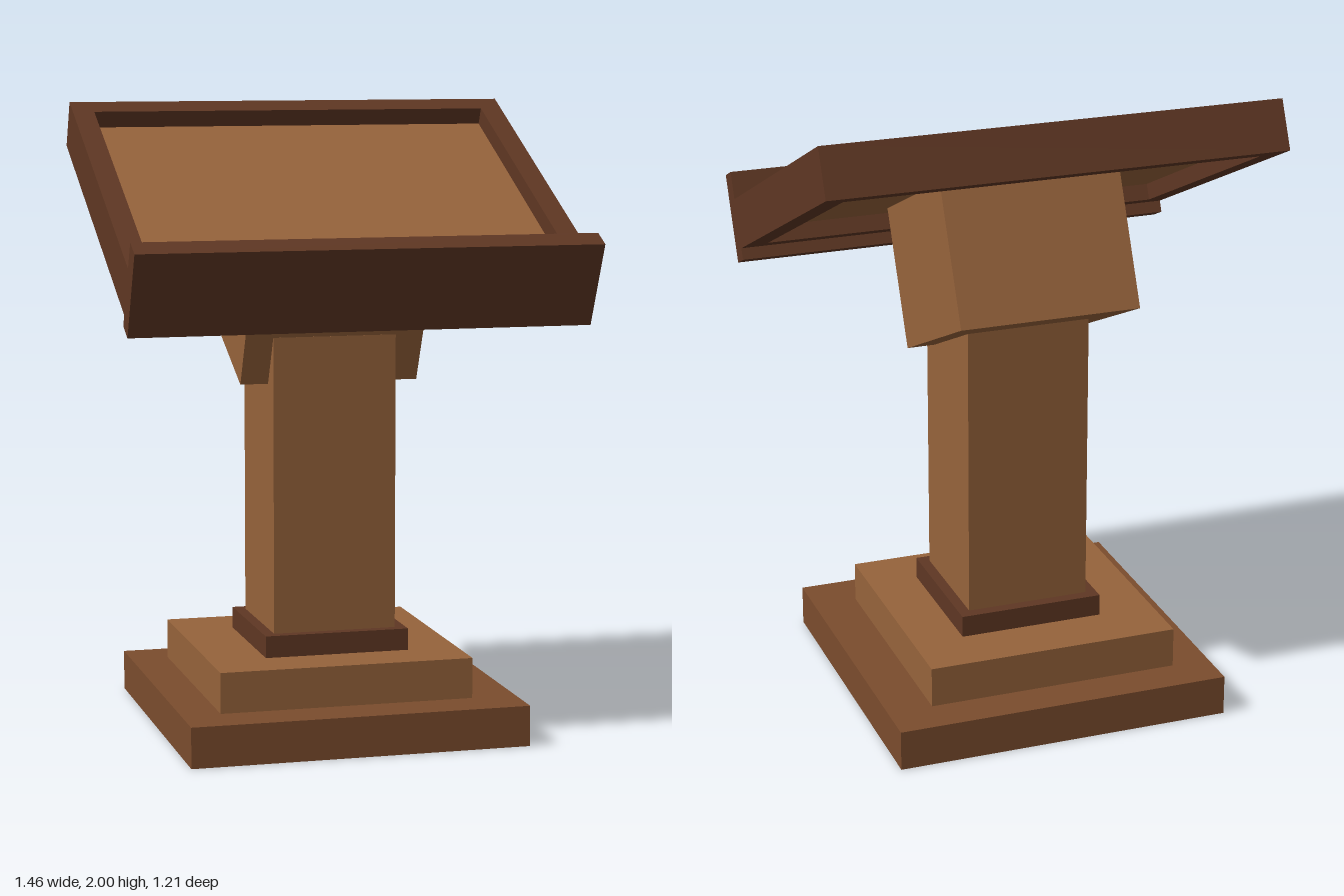
import * as THREE from 'three';

const wood = (color) => new THREE.MeshStandardMaterial({ color });

export function createModel() {
  const model = new THREE.Group();
  model.name = 'lectern';
  const light = wood(0x96633b), medium = wood(0x7b4c2d), dark = wood(0x5f3723);

  // Box given by its extents along each axis
  function box(parent, name, material, [x0, x1], [y0, y1], [z0, z1]) {
    const mesh = new THREE.Mesh(new THREE.BoxGeometry(x1 - x0, y1 - y0, z1 - z0), material);
    mesh.position.set((x0 + x1) / 2, (y0 + y1) / 2, (z0 + z1) / 2);
    mesh.name = name;
    parent.add(mesh);
    return mesh;
  }

  // Stepped foot and column
  box(model, 'basePlinth', medium, [-0.545, 0.545], [0, 0.13], [-0.605, 0.485]);
  box(model, 'baseStep', light, [-0.42, 0.4], [0.13, 0.26], [-0.475, 0.34]);
  box(model, 'columnCollar', dark, [-0.235, 0.235], [0.26, 0.33], [-0.295, 0.175]);
  box(model, 'column', light, [-0.2, 0.2], [0.33, 1.278], [-0.258, 0.142]);

  // Tilted head: local y is normal to the desk, local z runs down its slope
  const head = new THREE.Group();
  head.name = 'deskHead';
  head.rotation.x = THREE.MathUtils.degToRad(25);
  model.add(head);

  box(head, 'supportBlock', light, [-0.29, 0.29], [1.048, 1.505], [-0.992, -0.412]);
  box(head, 'deskPanel', light, [-0.66, 0.66], [1.5, 1.55], [-1.214, -0.274]);
  box(head, 'bookLip', dark, [-0.73, 0.73], [1.409, 1.696], [-0.195, -0.124]);

  // Frame around the panel, a rectangle with a rectangular hole
  const rectangle = (PathType, x, z0, z1) => new PathType([
    new THREE.Vector2(-x, -z1), new THREE.Vector2(x, -z1),
    new THREE.Vector2(x, -z0), new THREE.Vector2(-x, -z0),
  ]);
  const outline = rectangle(THREE.Shape, 0.73, -1.285, -0.195);
  outline.holes.push(rectangle(THREE.Path, 0.66, -1.214, -0.274));
  const frameGeometry = new THREE.ExtrudeGeometry(outline, { depth: 0.16, bevelEnabled: false });
  frameGeometry.rotateX(-Math.PI / 2);
  const frame = new THREE.Mesh(frameGeometry, dark);
  frame.position.y = 1.447;
  frame.name = 'deskFrame';
  head.add(frame);

  return model;
}
